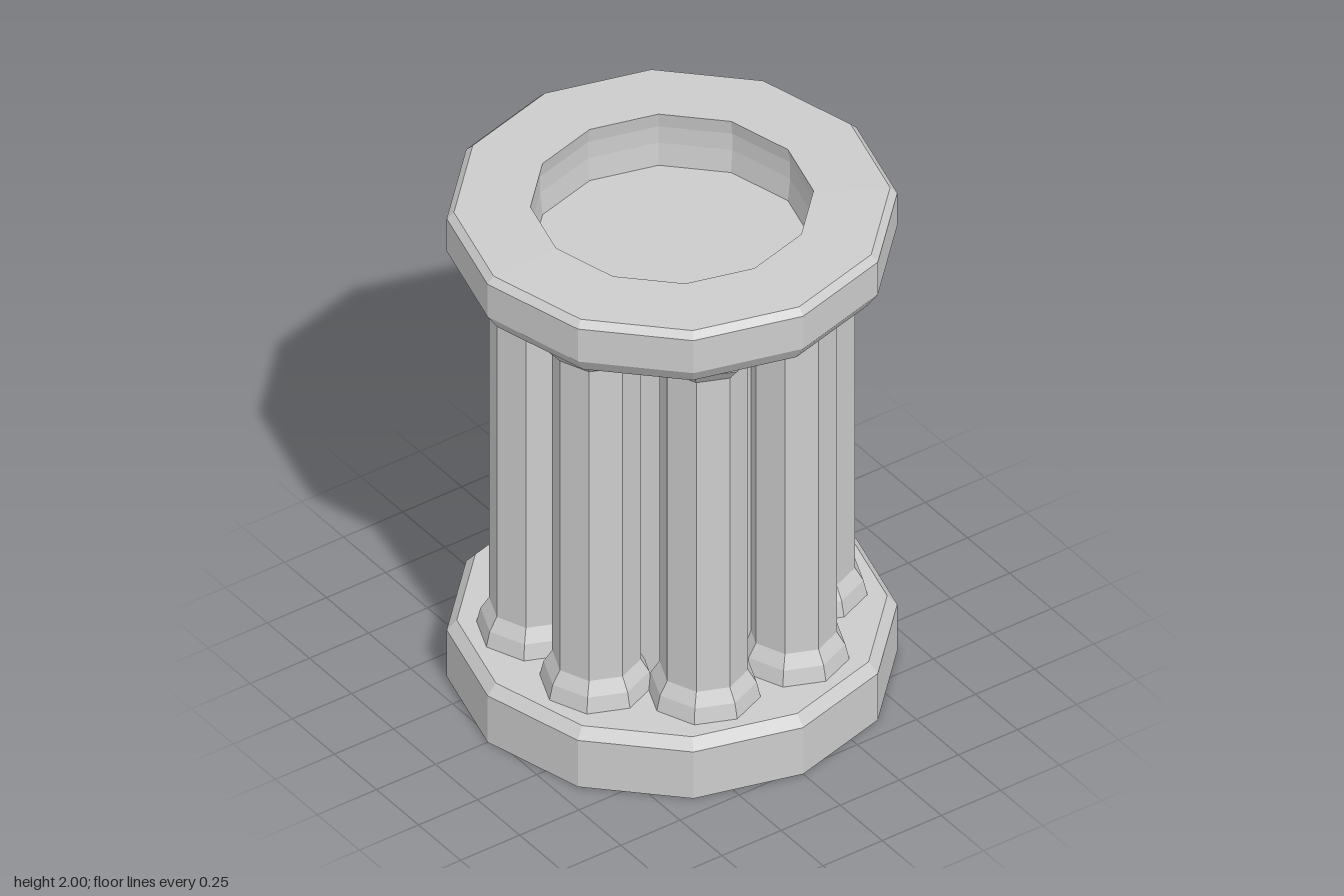
import * as THREE from 'three';

const material = new THREE.MeshStandardMaterial({ color: 0xcccccc, flatShading: true });

// Faceted turned part from [radius, height] pairs, listed from bottom to top
function turned(name, sides, profile) {
  const points = profile.map(([r, y]) => new THREE.Vector2(r, y));
  const mesh = new THREE.Mesh(new THREE.LatheGeometry(points, sides), material);
  mesh.name = name;
  return mesh;
}

export function createModel() {
  const model = new THREE.Group();
  model.name = 'pedestal';

  // Base slab with a bevelled upper edge
  model.add(turned('base', 12, [[0, 0], [0.78, 0], [0.78, 0.2], [0.745, 0.24], [0, 0.24]]));

  // Inner drum behind the columns
  model.add(turned('core', 12, [[0.4, 0.23], [0.4, 1.78]]));

  // Capital slab, bevelled on both edges, with a recess in the top
  model.add(turned('capital', 12, [
    [0, 1.77], [0.74, 1.77], [0.78, 1.83], [0.78, 1.97], [0.755, 1.995],
    [0.49, 2], [0.5, 1.94], [0.5, 1.87], [0.49, 1.78], [0, 1.78],
  ]));

  // Ring of eight octagonal columns with flared ends
  const columns = new THREE.Group();
  columns.name = 'columns';
  for (let i = 0; i < 8; i++) {
    const angle = (i + 0.5) * Math.PI / 4;
    const column = turned('column', 8, [
      [0.2, 0.235], [0.185, 0.3], [0.155, 0.35],
      [0.155, 1.68], [0.2, 1.735], [0.2, 1.775],
    ]);
    column.position.set(0.49 * Math.sin(angle), 0, 0.49 * Math.cos(angle));
    columns.add(column);
  }
  model.add(columns);

  return model;
}
